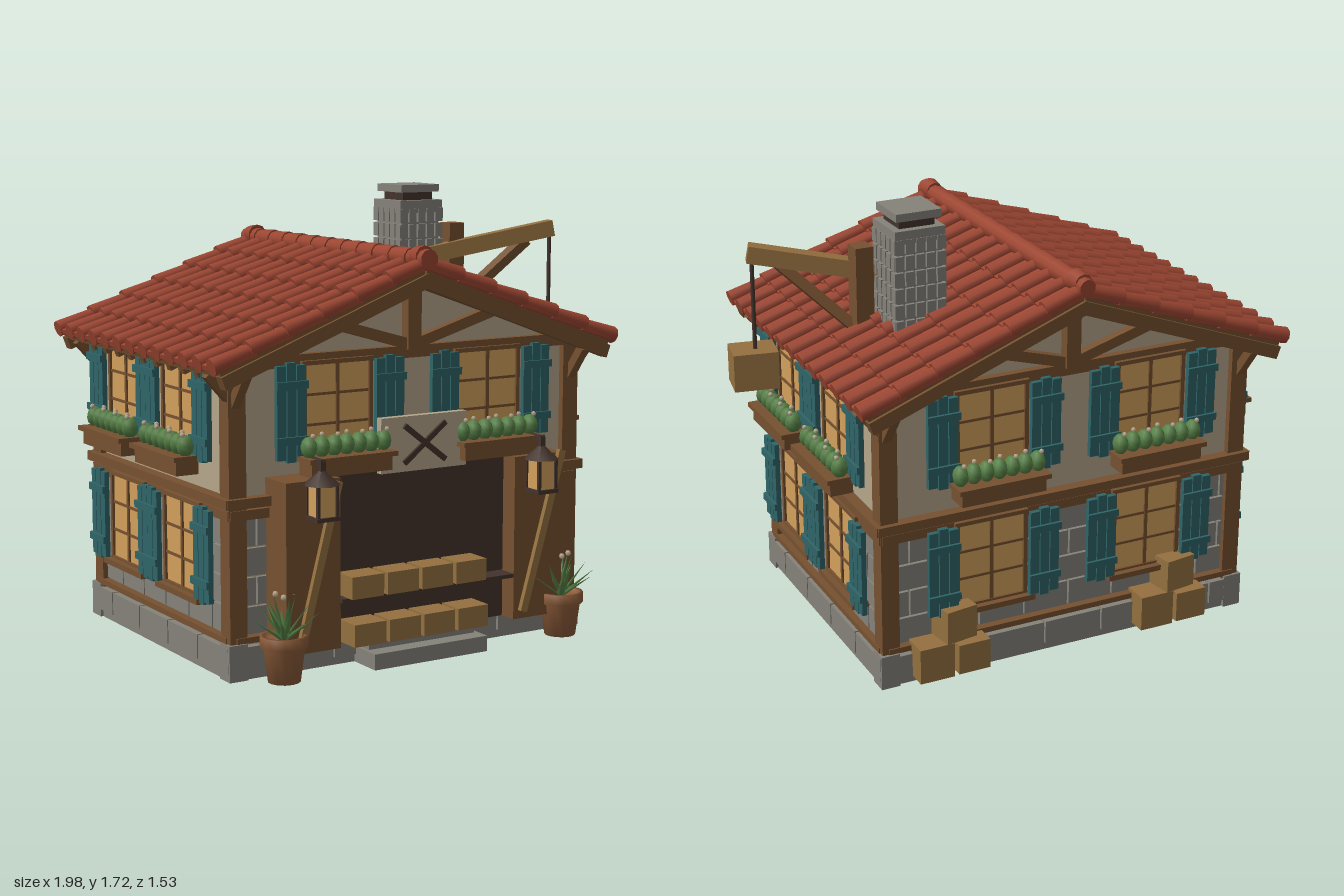
import * as THREE from 'three';

const mat = (name, color, double) => {
  const m = new THREE.MeshStandardMaterial({ color });
  m.name = name;
  if (double) m.side = THREE.DoubleSide;
  return m;
};
const M = {
  tile: mat('roof tile', 0x9c4632), stone: mat('stone', 0x85827a), plaster: mat('plaster', 0xb5a68b),
  wood: mat('timber', 0x765130), light: mat('light wood', 0x94703f), glass: mat('lit glass', 0xd2a05c),
  teal: mat('teal paint', 0x2f6467), green: mat('leaf green', 0x557f45, true),
  dark: mat('dark iron', 0x43332c), clay: mat('clay', 0x8a5a38),
};

function add(parent, name, geo, material, x = 0, y = 0, z = 0) {
  const m = new THREE.Mesh(geo, material);
  m.name = name;
  m.position.set(x, y, z);
  parent.add(m);
  return m;
}
const box = (p, name, m, w, h, d, x, y, z) => add(p, name, new THREE.BoxGeometry(w, h, d), m, x, y, z);
function group(parent, name, x = 0, y = 0, z = 0, ry = 0) {
  const g = new THREE.Group();
  g.name = name;
  g.position.set(x, y, z);
  g.rotation.y = ry;
  parent.add(g);
  return g;
}
// Square beam running from a to b
function beam(p, name, m, a, b, w, d) {
  const A = new THREE.Vector3(...a), B = new THREE.Vector3(...b);
  const o = box(p, name, m, w, A.distanceTo(B), d, 0, 0, 0);
  o.position.copy(A).lerp(B, 0.5);
  o.quaternion.setFromUnitVectors(new THREE.Vector3(0, 1, 0), B.sub(A).normalize());
  return o;
}

const HW = 0.745, HD = 0.55; // half width and half depth of the walls

// Window facing +z, with two shutters and either a sill or a flower box
function windowUnit(parent, x, y, z, ry, flowers) {
  const g = group(parent, 'window', x, y, z, ry), H = 0.34;
  box(g, 'glass', M.glass, 0.28, H, 0.04, 0, 0, 0);
  for (const s of [-1, 1]) {
    box(g, 'frameRail', M.wood, 0.3, 0.016, 0.06, 0, s * H / 2, 0);
    box(g, 'frameStile', M.wood, 0.016, H, 0.06, s * 0.14, 0, 0);
    box(g, 'glazingBar', M.wood, 0.28, 0.01, 0.05, 0, s * 0.055, 0);
    const sh = group(g, 'shutter', s * 0.208, 0, 0.045);
    for (const i of [-1, 0, 1]) box(sh, 'slat', M.teal, 0.037, H + (i ? 0 : 0.02), 0.02, i * 0.041, 0, 0);
    for (const i of [-1, 1]) box(sh, 'crossbar', M.teal, 0.13, 0.028, 0.012, 0, i * 0.1, 0.015);
  }
  box(g, 'mullion', M.wood, 0.014, H, 0.054, 0, 0, 0);
  if (!flowers) return box(g, 'sill', M.wood, 0.34, 0.022, 0.07, 0, -H / 2 - 0.012, 0.02);
  box(g, 'flowerBox', M.wood, 0.34, 0.06, 0.09, 0, -0.2, 0.085);
  box(g, 'flowerBoxRim', M.wood, 0.37, 0.018, 0.115, 0, -0.168, 0.088);
  const bush = new THREE.SphereGeometry(0.035, 8, 6), bloom = new THREE.SphereGeometry(0.01, 6, 4);
  for (let i = 0; i < 7; i++) {
    const bx = -0.156 + i * 0.052;
    add(g, 'bush', bush, M.green, bx, -0.125, 0.085).scale.set(0.85, 1.15, 1);
    add(g, 'bloom', bloom, M.plaster, bx + 0.008, -0.083, 0.1 - (i % 2) * 0.025);
  }
}

// Row of thin stone blocks on a wall facing +z
function stoneCourse(parent, len, y, h, step, shift) {
  for (let a = -len / 2 - shift; a < len / 2 - 0.001; a += step) {
    const l = Math.max(a, -len / 2), r = Math.min(a + step, len / 2);
    if (r - l > 0.02) box(parent, 'stoneBlock', M.stone, r - l - 0.008, h - 0.008, 0.03, (l + r) / 2, y, 0);
  }
}

function roofSide(parent, ry) {
  const turn = group(parent, 'roofSide', 0, 1.465, 0, ry), s = group(turn, 'roofSlope');
  s.rotation.z = -0.357;
  const L = 0.92, D = 1.36, rows = 6, cols = 13, step = L / rows;
  box(s, 'roofBoards', M.wood, L - 0.02, 0.02, D - 0.03, L / 2, -0.02, 0);
  const barrel = new THREE.CylinderGeometry(0.033, 0.026, step + 0.02, 8);
  barrel.rotateZ(-Math.PI / 2);
  for (let r = 0; r < rows; r++) {
    const x = (r + 0.5) * step;
    box(s, 'tilePan', M.tile, step + 0.015, 0.018, D, x, 0.004, 0).rotation.z = 0.06;
    for (let c = 0; c < cols; c++)
      add(s, 'barrelTile', barrel, M.tile, x, 0.014, -0.655 + c * 1.31 / (cols - 1)).rotation.z = 0.05;
  }
  // barge rafters and rafter tails
  for (const z of [-0.655, 0.655]) box(s, 'bargeRafter', M.wood, L - 0.01, 0.05, 0.045, L / 2, -0.05, z);
  for (let i = 0; i < 11; i++) box(s, 'rafterTail', M.wood, 0.16, 0.035, 0.03, L - 0.1, -0.045, -0.55 + i * 0.11);
}

function pottedPlant(parent, x, z) {
  const g = group(parent, 'pottedPlant', x, 0, z);
  const profile = [[0, 0.01], [0.06, 0.01], [0.077, 0.14], [0.088, 0.14], [0.088, 0.18], [0.072, 0.18], [0.07, 0.16], [0, 0.16]];
  add(g, 'pot', new THREE.LatheGeometry(profile.map(p => new THREE.Vector2(...p)), 14), M.clay);
  const leaf = new THREE.ConeGeometry(0.02, 0.17, 4);
  leaf.translate(0, 0.085, 0);
  leaf.scale(1, 1, 0.4);
  for (let i = 0; i < 18; i++) {
    const l = add(g, 'leaf', leaf, M.green, 0, 0.16, 0);
    l.rotation.set([0.25, 0.6, 0.95][i % 3], i * 2.4, 0, 'YXZ');
  }
  for (let i = 0; i < 3; i++) add(g, 'bloom', new THREE.SphereGeometry(0.012, 6, 4), M.plaster, 0.035 * Math.cos(i * 2.1), 0.325, 0.035 * Math.sin(i * 2.1));
}

function lantern(parent, x, z) {
  const g = group(parent, 'lantern', x, 0, z);
  box(g, 'lanternGlass', M.glass, 0.075, 0.12, 0.075, 0, 0.66, 0);
  box(g, 'lanternBase', M.dark, 0.095, 0.015, 0.095, 0, 0.6, 0);
  for (const a of [-1, 1]) for (const b of [-1, 1]) box(g, 'lanternBar', M.dark, 0.012, 0.12, 0.012, a * 0.038, 0.66, b * 0.038);
  add(g, 'lanternCap', new THREE.ConeGeometry(0.068, 0.06, 8), M.dark, 0, 0.75, 0);
  box(g, 'lanternHook', M.dark, 0.02, 0.04, 0.02, 0, 0.785, 0);
  box(g, 'lanternArm', M.dark, 0.018, 0.018, 0.08, 0, 0.8, -0.035);
}

export function createModel() {
  const root = new THREE.Group();
  root.name = 'house';
  const h = group(root, 'building', -0.08, 0, -0.035);

  // Foundation and walls
  box(h, 'foundation', M.stone, 1.54, 0.1, 1.15, 0, 0.05, 0);
  box(h, 'lowerWall', M.plaster, 2 * HW - 0.02, 0.56, 2 * HD - 0.02, 0, 0.36, 0);
  const gable = new THREE.Shape([[-HW, 0.6], [HW, 0.6], [HW, 1.16], [0, 1.435], [-HW, 1.16]].map(p => new THREE.Vector2(...p)));
  const upper = new THREE.ExtrudeGeometry(gable, { depth: 2 * HD, bevelEnabled: false });
  add(h, 'upperWall', upper, M.plaster, 0, 0, -HD);

  // Stonework and horizontal timbers on each side
  for (let i = 0; i < 4; i++) {
    const side = i % 2 === 1, out = side ? HW : HD, len = side ? 2 * HD : 2 * HW;
    const g = group(h, 'wallSide', 0, 0, 0, i * Math.PI / 2);
    const courses = group(g, 'stoneCourses', 0, 0, out - 0.01);
    for (let r = 0; r < 4; r++) stoneCourse(courses, len, 0.21 + r * 0.108, 0.108, 0.19, (r % 2) * 0.095);
    stoneCourse(group(g, 'foundationBlocks', 0, 0, out + 0.022), len + 0.06, 0.077, 0.1, 0.245, 0.06);
    box(g, 'sillBeam', M.wood, len, 0.022, 0.06, 0, 0.145, out);
    box(g, 'beltBeam', M.wood, len + 0.08, 0.036, 0.09, 0, 0.65, out);
    box(g, 'beltBeamLower', M.wood, len + 0.04, 0.036, 0.06, 0, 0.605, out);
    box(g, 'topBeam', M.wood, len + 0.04, 0.045, 0.06, 0, 1.145, out);
    // windows in pairs, none on the ground floor at the front
    for (const s of [-1, 1]) {
      const x = s * (side ? 0.23 : 0.33);
      windowUnit(g, x, 0.965, out + 0.015, 0, true);
      if (i) windowUnit(g, x, 0.445, out + 0.015, 0, false);
    }
  }
  for (const sx of [-1, 1]) for (const sz of [-1, 1]) {
    box(h, 'cornerPost', M.wood, 0.07, 1.05, 0.07, sx * 0.735, 0.635, sz * 0.54);
    box(h, 'cornerStone', M.stone, 0.075, 0.135, 0.075, sx * 0.743, 0.0675, sz * 0.55);
    beam(h, 'eaveBracket', M.wood, [sx * 0.75, 1.02, sz * 0.55], [sx * 0.84, 1.12, sz * 0.55], 0.035, 0.035);
    beam(h, 'gableBracket', M.wood, [sx * 0.74, 1.0, sz * 0.56], [sx * 0.74, 1.12, sz * 0.65], 0.035, 0.035);
  }

  // Gable timbers and eave plates
  for (const s of [-1, 1]) {
    const z = s * 0.565;
    box(h, 'kingPost', M.wood, 0.058, 0.27, 0.06, 0, 1.29, z);
    box(h, 'eavePlate', M.wood, 0.07, 0.04, 1.3, s * 0.8, 1.135, 0);
    for (const x of [-1, 1]) {
      beam(h, 'gableBrace', M.wood, [x * 0.02, 1.175, z], [x * 0.38, 1.28, z], 0.04, 0.04);
      beam(h, 'gableRafter', M.wood, [0, 1.415, z], [x * 0.8, 1.125, z], 0.045, 0.05);
    }
  }

  // Roof
  roofSide(h, 0);
  roofSide(h, Math.PI);
  const ridge = new THREE.CylinderGeometry(0.038, 0.032, 0.125, 10);
  ridge.rotateX(Math.PI / 2);
  for (let i = 0; i < 12; i++) add(h, 'ridgeTile', ridge, M.tile, 0, 1.492, -0.627 + i * 0.114);
  for (const s of [-1, 1]) add(h, 'ridgeEnd', ridge, M.tile, 0, 1.5, s * 0.63).scale.set(1.1, 1.1, 0.45);

  // Workshop front
  const f = group(root, 'workshopFront', -0.08, 0, 0);
  box(f, 'darkOpening', M.dark, 1.0, 0.62, 0.08, 0, 0.41, 0.55);
  box(f, 'doorStep', M.stone, 0.5, 0.06, 0.15, 0, 0.03, 0.61);
  box(f, 'doorStepTop', M.stone, 0.47, 0.035, 0.1, 0, 0.077, 0.57);
  box(f, 'signBoard', M.plaster, 0.375, 0.205, 0.03, 0, 0.817, 0.61);
  for (const s of [-1, 1]) {
    box(f, 'doorPost', M.wood, 0.225, 0.63, 0.15, s * 0.497, 0.415, 0.59);
    beam(f, 'signBar', M.dark, [-0.09, 0.817 - s * 0.07, 0.63], [0.09, 0.817 + s * 0.07, 0.63], 0.02, 0.012);
    lantern(f, s * 0.482, 0.7);
    pottedPlant(f, s * 0.615, 0.655);
  }
  beam(f, 'leaningPlank', M.light, [-0.555, 0.13, 0.675], [-0.4, 0.72, 0.675], 0.03, 0.02);
  beam(f, 'leaningPlank', M.light, [0.42, 0.13, 0.675], [0.595, 0.74, 0.675], 0.03, 0.02);
  for (let i = 0; i < 4; i++) {
    const x = -0.285 + i * 0.151;
    box(f, 'shelfCrate', M.light, 0.135, 0.083, 0.11, x, 0.322, 0.64);
    box(f, 'shelfCrate', M.light, 0.135, 0.083, 0.11, x, 0.148, 0.655);
  }
  box(f, 'shelf', M.dark, 0.76, 0.015, 0.1, 0, 0.273, 0.62);

  // Crates against the back wall
  for (const x of [0.42, -0.52]) {
    const c = group(root, 'backCrates', x, 0, -0.63);
    box(c, 'crate', M.light, 0.14, 0.14, 0.13, 0.085, 0.1, 0);
    box(c, 'crate', M.light, 0.13, 0.12, 0.12, -0.07, 0.09, 0);
    box(c, 'crate', M.light, 0.13, 0.13, 0.12, -0.01, 0.237, 0).rotation.y = 0.15;
  }

  // Chimney with raised stones
  const ch = group(root, 'chimney', 0.38, 0, -0.2);
  box(ch, 'chimneyCore', M.stone, 0.18, 0.4, 0.18, 0, 1.43, 0);
  for (let i = 0; i < 4; i++) {
    const g = group(ch, 'chimneyFace', 0, 0, 0, i * Math.PI / 2);
    for (let r = 0; r < 6; r++) for (let c = 0; c < 5; c++)
      box(g, 'chimneyStone', M.stone, 0.034, 0.054, 0.022, -0.084 + c * 0.042, 1.285 + r * 0.062, 0.092);
  }
  box(ch, 'chimneyCap', M.stone, 0.2, 0.05, 0.2, 0, 1.63, 0);
  box(ch, 'chimneyFlue', M.dark, 0.14, 0.04, 0.14, 0, 1.67, 0);
  box(ch, 'chimneyTop', M.stone, 0.18, 0.03, 0.18, 0, 1.702, 0);

  // Hoist with hanging crate
  const ho = group(root, 'hoist');
  box(ho, 'hoistPost', M.wood, 0.07, 0.34, 0.075, 0.535, 1.39, -0.11);
  const arm = group(ho, 'hoistArm', 0.667, 1.485, -0.022, -0.32), jib = group(arm, 'hoistJib');
  jib.rotation.z = 0.19;
  box(jib, 'hoistBeam', M.light, 0.53, 0.065, 0.06, 0, 0, 0);
  beam(ho, 'hoistBrace', M.wood, [0.56, 1.24, -0.09], [0.81, 1.49, 0.025], 0.04, 0.04);
  add(ho, 'rope', new THREE.CylinderGeometry(0.008, 0.008, 0.36, 6), M.dark, 0.895, 1.325, 0.07);
  box(ho, 'hangingCrate', M.light, 0.17, 0.145, 0.14, 0.9, 1.08, 0.08).rotation.y = -0.18;
  return root;
}
